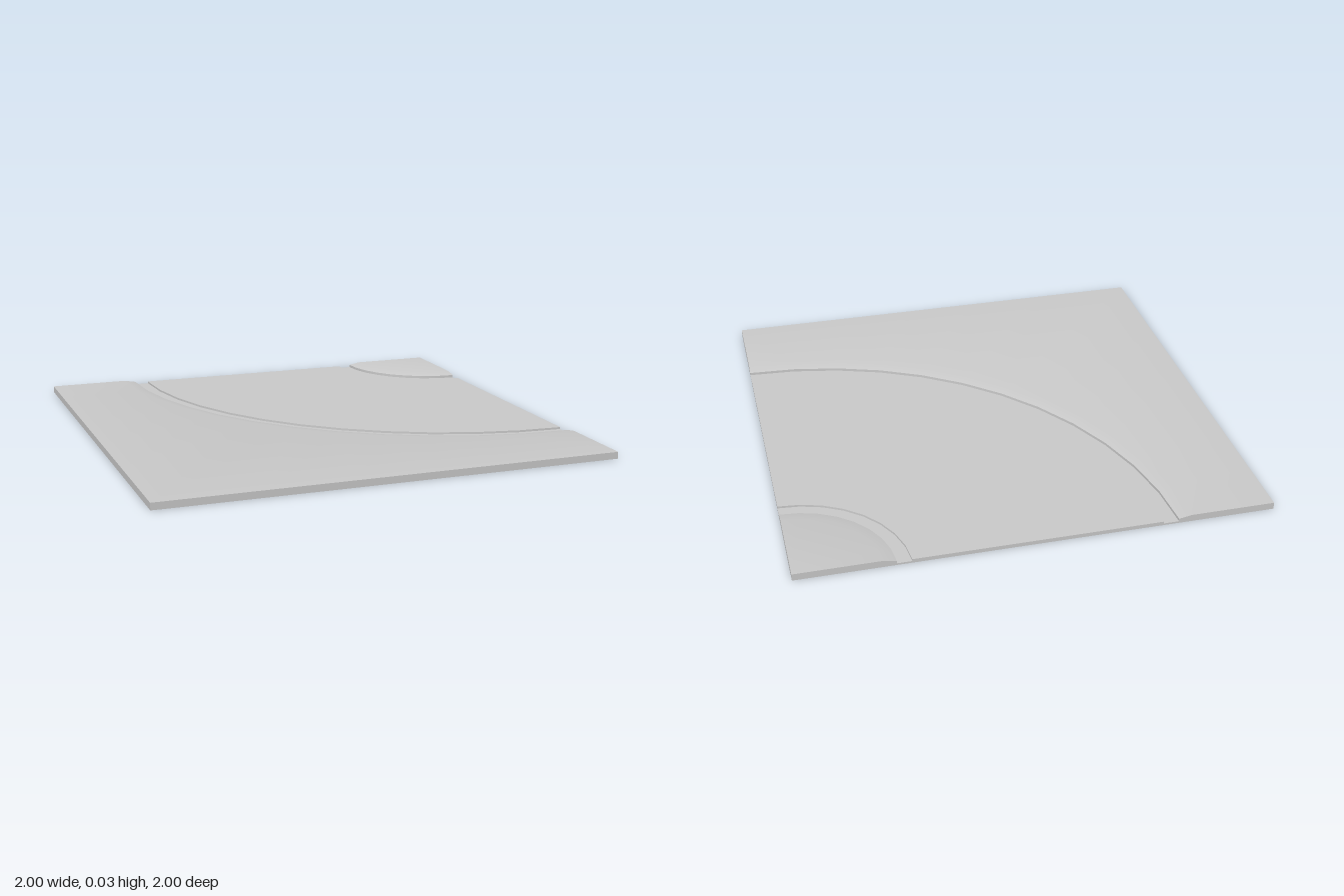
import * as THREE from 'three';
import { toCreasedNormals } from 'three/addons/utils/BufferGeometryUtils.js';

const QUARTER = Math.PI / 2;
const LAND = 0.03, KERB = 0.02, ROAD = 0.017, GUTTER = 0.008;

// Radius of a faceted arc (n straight segments per quarter turn) at angle a
const faceted = (r, n) => (a) => {
  const step = QUARTER / n;
  const local = a - step * Math.min(n - 1, Math.floor(a / step + 1e-6));
  return r * Math.cos(step / 2) / Math.cos(local - step / 2);
};
// Distance from the bend's centre corner to the tile's two far edges
const tileEdge = (a) => 2 / Math.max(Math.cos(a), Math.sin(a));

// Sweeps a profile of [radius, height] a quarter turn about the corner (1, -1),
// closing both cut ends down to the ground
function bend(name, profile, segments, material) {
  const positions = [];
  const triangle = (a, b, c) => {
    const area = b.clone().sub(a).cross(c.clone().sub(a)).length();
    if (area > 1e-8) for (const p of [a, b, c]) positions.push(p.x, p.y, p.z);
  };
  const quad = (a, b, c, d) => { triangle(a, b, c); triangle(a, c, d); };
  const rows = [];
  for (let i = 0; i <= segments; i++) {
    const a = QUARTER * i / segments;
    rows.push(profile.map(([radius, y]) => {
      const r = typeof radius === 'function' ? radius(a) : radius;
      return new THREE.Vector3(1 - r * Math.cos(a), y, -1 + r * Math.sin(a));
    }));
  }
  const ground = (p) => new THREE.Vector3(p.x, 0, p.z);
  const first = rows[0], last = rows[segments];
  for (let j = 0; j < profile.length - 1; j++) {
    for (let i = 0; i < segments; i++) {
      quad(rows[i][j], rows[i][j + 1], rows[i + 1][j + 1], rows[i + 1][j]);
    }
    quad(ground(first[j + 1]), first[j + 1], first[j], ground(first[j]));
    quad(ground(last[j]), last[j], last[j + 1], ground(last[j + 1]));
  }
  const geometry = new THREE.BufferGeometry();
  geometry.setAttribute('position', new THREE.Float32BufferAttribute(positions, 3));
  const mesh = new THREE.Mesh(toCreasedNormals(geometry, 0.5), material);
  mesh.name = name;
  return mesh;
}

export function createModel() {
  const group = new THREE.Group();
  group.name = 'roadBendTile';
  const material = new THREE.MeshStandardMaterial({ color: 0xcccccc });
  const add = (name, profile, segments) => group.add(bend(name, profile, segments, material));

  // Raised ground on both sides, sloping down to the kerb
  add('outerGround', [[1.585, GUTTER], [1.585, KERB], [1.64, LAND], [tileEdge, LAND], [tileEdge, 0]], 12);
  add('innerGround', [[0, LAND], [0.36, LAND], [0.413, KERB], [0.413, GUTTER]], 8);

  // Sunken gutters along the road
  add('outerGutter', [[1.52, GUTTER], [1.585, GUTTER]], 12);
  add('innerGutter', [[0.413, GUTTER], [0.475, GUTTER]], 8);

  // Road surface with its low side walls
  const inner = faceted(0.475, 8), outer = faceted(1.52, 12);
  add('road', [[inner, GUTTER], [inner, ROAD], [outer, ROAD], [outer, GUTTER]], 24);

  // Flat underside
  const base = new THREE.Mesh(new THREE.PlaneGeometry(2, 2).rotateX(QUARTER), material);
  base.name = 'underside';
  group.add(base);
  return group;
}
